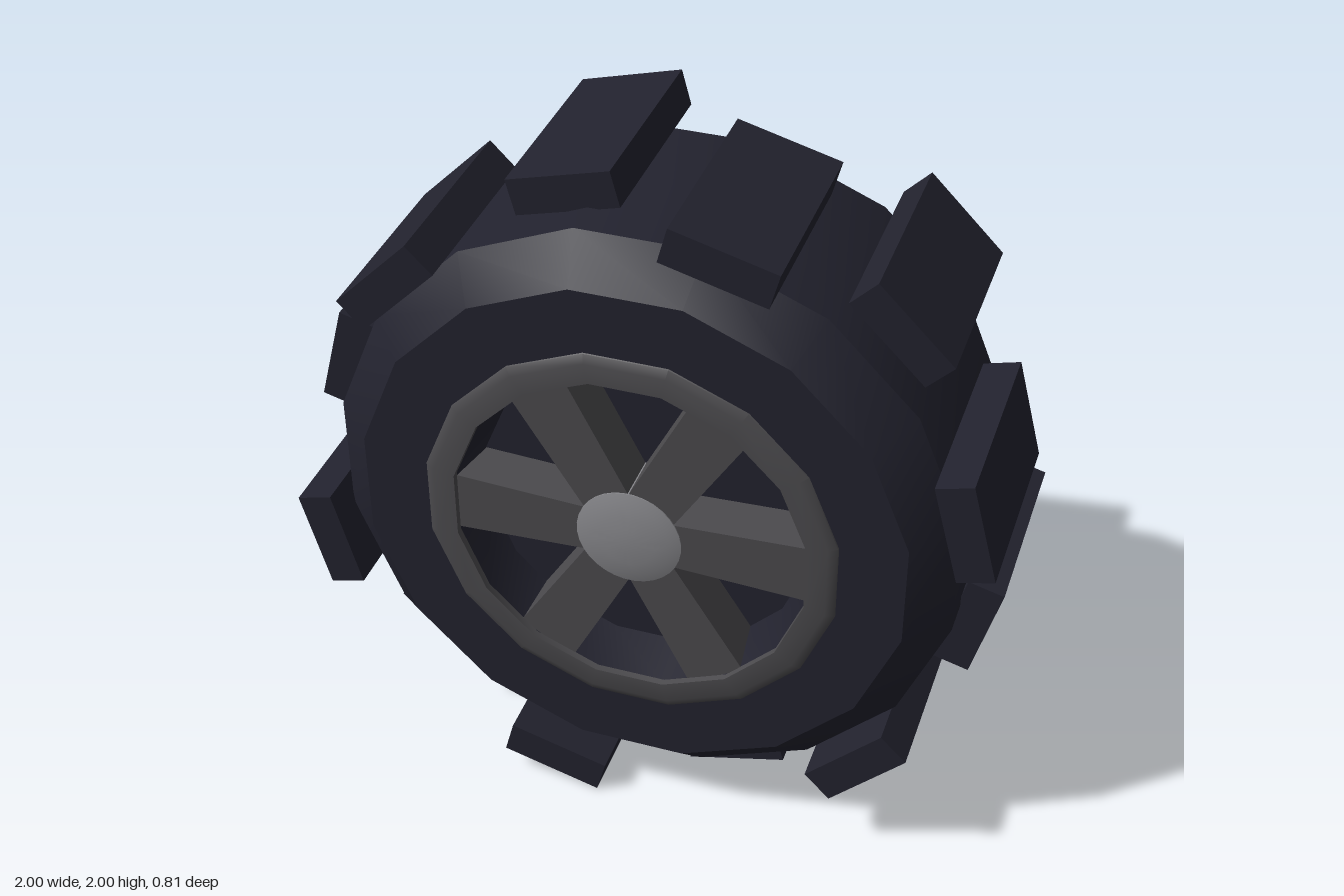
import * as THREE from 'three';
import { toCreasedNormals } from 'three/addons/utils/BufferGeometryUtils.js';

// Revolve [radius, z] points around the z axis, with flats at top and sides
function turned(points, sides) {
  const profile = points.map(([r, z]) => new THREE.Vector2(r, z));
  const geo = new THREE.LatheGeometry(profile, sides, Math.PI / sides);
  geo.rotateX(Math.PI / 2);
  return toCreasedNormals(geo, 0.6);
}

export function createModel() {
  const rubber = new THREE.MeshStandardMaterial({ name: 'rubber', color: 0x22222e });
  const darkMetal = new THREE.MeshStandardMaterial({ name: 'darkMetal', color: 0x4b4a4d });
  const lightMetal = new THREE.MeshStandardMaterial({ name: 'lightMetal', color: 0x88888c });

  const model = new THREE.Group();
  model.name = 'wheel';
  const wheel = new THREE.Group();
  wheel.name = 'wheelAssembly';
  wheel.position.y = 1;
  model.add(wheel);

  const add = (name, geo, material) => {
    const mesh = new THREE.Mesh(geo, material);
    mesh.name = name;
    wheel.add(mesh);
    return mesh;
  };

  // Tire: closed back, chamfered shoulders, dished recess in front
  add('tire', turned([
    [0, -0.405], [0.785, -0.405], [0.9, -0.29], [0.9, 0.28],
    [0.785, 0.39], [0.51, 0.39], [0.48, 0.24], [0, 0.24],
  ], 16), rubber);

  // Rim ring with a bevelled outer edge
  add('rim', turned([
    [0.6, 0.385], [0.595, 0.393], [0.57, 0.404], [0.51, 0.404], [0.508, 0.37],
  ], 16), darkMetal);

  // Six spokes, slightly wider towards the rim
  const outline = new THREE.Shape([
    new THREE.Vector2(0.06, -0.07), new THREE.Vector2(0.505, -0.09),
    new THREE.Vector2(0.505, 0.09), new THREE.Vector2(0.06, 0.07),
  ]);
  const spokeGeo = new THREE.ExtrudeGeometry(outline, { depth: 0.145, bevelEnabled: false });
  spokeGeo.translate(0, 0, 0.24);
  for (let i = 0; i < 6; i++) {
    add('spoke', spokeGeo, darkMetal).rotation.z = i * Math.PI / 3;
  }

  // Hub cap with a shallow dome
  add('hubCap', turned([
    [0.15, 0.24], [0.15, 0.388], [0.12, 0.397], [0.08, 0.403], [0.04, 0.407], [0, 0.408],
  ], 32), lightMetal);

  // Tread blocks, alternating between the front and back shoulders
  const blockGeo = new THREE.BoxGeometry(0.105, 0.3, 0.58);
  blockGeo.translate(0.9425, 0, 0);
  for (let i = 0; i < 12; i++) {
    const block = add('treadBlock', blockGeo, rubber);
    block.rotation.z = (15 + i * 30) * Math.PI / 180;
    block.position.z = i % 2 === 0 ? 0.1 : -0.115;
  }
  return model;
}
